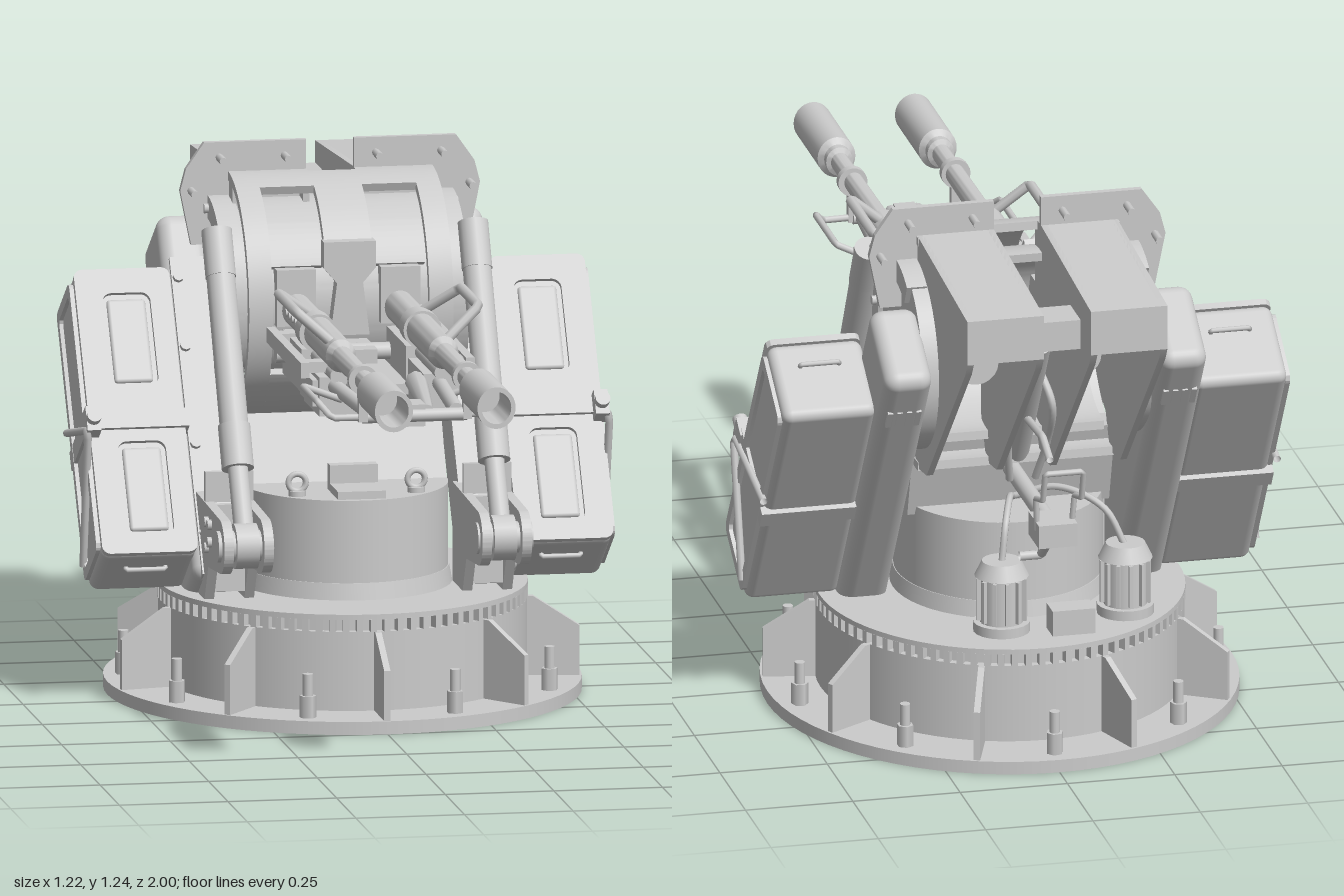
import * as THREE from 'three';
import { toCreasedNormals } from 'three/addons/utils/BufferGeometryUtils.js';
import { RoundedBoxGeometry } from 'three/addons/geometries/RoundedBoxGeometry.js';

const mat = new THREE.MeshStandardMaterial({ color: 0xcccccc, side: THREE.DoubleSide });
const V = (x, y, z) => new THREE.Vector3(x, y, z);

function add(parent, name, geo, x = 0, y = 0, z = 0) {
  const m = new THREE.Mesh(geo, mat);
  m.name = name;
  m.position.set(x, y, z);
  parent.add(m);
  return m;
}
const box = (p, name, w, h, d, x, y, z) => add(p, name, new THREE.BoxGeometry(w, h, d), x, y, z);

// Cylinder running from point a (radius ra) to point b (radius rb)
function rod(p, name, a, b, ra, rb = ra, seg = 20) {
  const A = V(...a), B = V(...b), dir = B.clone().sub(A);
  const m = add(p, name, new THREE.CylinderGeometry(rb, ra, dir.length(), seg));
  m.position.copy(A).lerp(B, 0.5);
  m.quaternion.setFromUnitVectors(V(0, 1, 0), dir.normalize());
  return m;
}
// Bent pipe through straight segments
function pipe(p, name, pts, r) {
  const path = new THREE.CurvePath();
  for (let i = 1; i < pts.length; i++) path.add(new THREE.LineCurve3(V(...pts[i - 1]), V(...pts[i])));
  return add(p, name, new THREE.TubeGeometry(path, (pts.length - 1) * 8, r, 8));
}
const hose = (p, name, pts, r) =>
  add(p, name, new THREE.TubeGeometry(new THREE.CatmullRomCurve3(pts.map(q => V(...q))), 24, r, 8));
const poly = pts => new THREE.Shape(pts.map(q => new THREE.Vector2(...q)));

// Side profile drawn in (z, y), extruded from x = a to x = b
function slab(p, name, shape, a, b) {
  const lo = Math.min(a, b), hi = Math.max(a, b);
  const g = new THREE.ExtrudeGeometry(shape, { depth: hi - lo, bevelEnabled: false, curveSegments: 40 });
  g.rotateY(-Math.PI / 2);
  return add(p, name, toCreasedNormals(g, 0.5), hi, 0, 0);
}
const CY = 0.885, CZ = -0.5, R = 0.282;
// Ring sector of the cradle drum, angles in degrees from the front upwards
function sector(r0, r1, d0, d1) {
  const s = new THREE.Shape(), a = d0 * Math.PI / 180, b = d1 * Math.PI / 180;
  s.absarc(CZ, CY, r1, a, b, false);
  s.absarc(CZ, CY, r0, b, a, true);
  s.closePath();
  return s;
}
function roundRect(Type, cx, cy, w, h, r) {
  const s = new Type(), x = w / 2 - r, y = h / 2 - r;
  s.absarc(cx + x, cy + y, r, 0, Math.PI / 2);
  s.absarc(cx - x, cy + y, r, Math.PI / 2, Math.PI);
  s.absarc(cx - x, cy - y, r, Math.PI, Math.PI * 1.5);
  s.absarc(cx + x, cy - y, r, Math.PI * 1.5, Math.PI * 2);
  s.closePath();
  return s;
}

function buildBase(root) {
  const g = new THREE.Group();
  g.name = 'base';
  g.position.z = -0.335;
  g.scale.x = 0.917;
  root.add(g);
  rod(g, 'basePlate', [0, 0, 0], [0, 0.03, 0], 0.59, 0.59, 72);
  rod(g, 'baseDrum', [0, 0.03, 0], [0, 0.212, 0], 0.455, 0.455, 72);
  // Nine gussets with anchor bolts between them
  for (let i = 0; i < 9; i++) {
    const h = new THREE.Group();
    h.rotation.y = i * Math.PI * 2 / 9;
    g.add(h);
    slab(h, 'gusset', poly([[0.44, 0.03], [0.584, 0.03], [0.584, 0.145], [0.47, 0.212], [0.44, 0.212]]), -0.008, 0.008);
    const a = Math.PI / 9, x = Math.sin(a) * 0.54, z = Math.cos(a) * 0.54;
    rod(h, 'anchorNut', [x, 0.03, z], [x, 0.08, z], 0.021, 0.021, 6);
    rod(h, 'anchorBolt', [x, 0.08, z], [x, 0.13, z], 0.013, 0.013, 12);
  }
  // Toothed slewing ring
  const pts = [], n = 84;
  for (let i = 0; i < n; i++) for (const [f, r] of [[0, 0.437], [0.45, 0.437], [0.5, 0.457], [0.95, 0.457]]) {
    const a = (i + f) / n * Math.PI * 2;
    pts.push([Math.cos(a) * r, Math.sin(a) * r]);
  }
  const ring = new THREE.ExtrudeGeometry(poly(pts), { depth: 0.028, bevelEnabled: false });
  add(g, 'gearRing', ring.rotateX(-Math.PI / 2), 0, 0.212, 0);
  rod(g, 'turntable', [0, 0.24, 0], [0, 0.252, 0], 0.457, 0.457, 72);
  rod(g, 'pedestalFoot', [0, 0.25, 0.015], [0, 0.29, 0.015], 0.268, 0.26, 48);
  rod(g, 'pedestal', [0, 0.29, 0.015], [0, 0.48, 0.015], 0.258, 0.258, 48);
}

function buildCradle(root) {
  const g = new THREE.Group();
  g.name = 'cradle';
  root.add(g);
  slab(g, 'innerDrum', sector(0.2, 0.22, -95, 95), -0.2, 0.2);
  slab(g, 'drumCentre', sector(0.262, R, 28, 85), -0.055, 0.055);
  slab(g, 'drumLower', sector(0.262, R, -95, -31), -0.18, 0.18);
  // Neck joining the cradle to the pedestal
  slab(g, 'neck', poly([[-0.3, 0.46], [-0.4, 0.66], [-0.48, 0.66], [-0.42, 0.46]]), -0.235, 0.235);
  for (const s of [-1, 1]) {
    slab(g, 'drumEdge', sector(0.262, R, -95, 95), s * 0.18, s * 0.235);
    slab(g, 'slotShield', sector(0.22, 0.245, 24, 50), s * 0.055, s * 0.18);
    slab(g, 'drumCrown', sector(0.262, R, 68, 95), s * 0.055, s * 0.18);
    box(g, 'gunMantlet', 0.09, 0.13, 0.17, s * 0.12, 0.915, -0.34);
    rod(g, 'trunnionDisc', [s * 0.225, CY, CZ], [s * 0.27, CY, CZ], 0.222, 0.222, 48);
    slab(g, 'trunnionRim', sector(0.175, 0.228, -60, 120), s * 0.235, s * 0.282);
    for (const a of [-0.3, 0.3, 0.9, 1.5]) {
      const y = CY + Math.sin(a) * 0.2, z = CZ + Math.cos(a) * 0.2;
      rod(g, 'rimBolt', [s * 0.278, y, z], [s * 0.292, y, z], 0.011, 0.011, 8);
    }
    // Hollow rear shroud
    const side = poly([[-0.45, 1.16], [-0.5, 1.168], [-1, 1.135], [-1, 1.03], [-0.98, 1], [-0.78, 0.8], [-0.6, 0.62], [-0.5, 0.605], [-0.45, 0.7]]);
    for (const x of [0.055, 0.218]) slab(g, 'shroudWall', side, s * x, s * (x + 0.015));
    slab(g, 'shroudRoof', poly([[-0.5, 1.168], [-1, 1.135], [-1, 1.03], [-0.985, 1.03], [-0.985, 1.12], [-0.5, 1.153]]), s * 0.06, s * 0.225);
    // Upright bolting plate
    const plate = poly([[s * 0.055, 1.1], [s * 0.055, 1.235], [s * 0.29, 1.235], [s * 0.332, 1.175], [s * 0.345, 1.125], [s * 0.32, 1], [s * 0.23, 1]]);
    add(g, 'topPlate', new THREE.ExtrudeGeometry(plate, { depth: 0.016, bevelEnabled: false }), 0, 0, -0.51);
    for (const [x, y] of [[0.105, 1.2], [0.255, 1.2], [0.32, 1.125]])
      rod(g, 'plateBolt', [s * x, y, -0.56], [s * x, y, -0.44], 0.009, 0.009, 8);
  }
  // Central mantlet bracket between the guns
  const m = poly([[-0.06, 1.045], [0.06, 1.045], [0.06, 0.985], [0.03, 0.95], [0.045, 0.83], [-0.045, 0.83], [-0.03, 0.95], [-0.06, 0.985]]);
  add(g, 'mantletBracket', new THREE.ExtrudeGeometry(m, { depth: 0.04, bevelEnabled: false }), 0, 0, -0.275);
  rod(g, 'crossBar', [-0.18, 0.8, -0.19], [0.18, 0.8, -0.19], 0.02);
  box(g, 'lowerBlock', 0.16, 0.07, 0.12, 0, 0.695, -0.23);
  box(g, 'lowerSupport', 0.09, 0.1, 0.14, 0, 0.765, -0.2);
}

function buildGuns(root) {
  const profile = [[0, -0.42], [0.038, -0.42], [0.038, 0.31], [0.026, 0.33], [0.023, 0.73], [0.034, 0.735], [0.034, 0.755],
    [0.048, 0.765], [0.048, 1], [0.037, 1], [0.037, 0.85], [0, 0.85]].map(p => new THREE.Vector2(...p));
  for (const s of [-1, 1]) {
    const g = new THREE.Group();
    g.name = s > 0 ? 'leftGun' : 'rightGun';
    root.add(g);
    const barrel = new THREE.LatheGeometry(profile, 28).rotateX(Math.PI / 2);
    add(g, 'barrel', toCreasedNormals(barrel, 0.5), s * 0.118, 0.887, 0).scale.x = 0.917;
    rod(g, 'barrelClamp', [s * 0.12, 0.887, 0.595], [s * 0.12, 0.887, 0.615], 0.034);
    rod(g, 'receiverCollar', [s * 0.12, 0.887, -0.03], [s * 0.12, 0.887, 0.03], 0.044);
    box(g, 'receiver', 0.07, 0.09, 0.2, s * 0.12, 0.78, 0.14);
    box(g, 'receiverCover', 0.015, 0.06, 0.16, s * 0.16, 0.785, 0.14);
    box(g, 'receiverRear', 0.075, 0.1, 0.25, s * 0.12, 0.8, -0.1);
    rod(g, 'gasTube', [s * 0.12, 0.835, -0.2], [s * 0.12, 0.835, 0.28], 0.017);
    for (let i = 0; i < 6; i++)
      rod(g, 'ventPort', [s * 0.15, 0.895, -0.19 + i * 0.04], [s * 0.157, 0.895, -0.19 + i * 0.04], 0.009, 0.009, 8);
    box(g, 'sideRail', 0.02, 0.035, 0.45, s * 0.19, 0.845, 0.03);
    for (const z of [-0.15, 0.2]) box(g, 'railMount', 0.06, 0.025, 0.04, s * 0.16, 0.845, z);
    // Tapering stay, carry handle and side guard
    rod(g, 'stay', [s * 0.075, 0.8, 0.2], [s * 0.03, 0.81, 0.6], 0.026, 0.014, 8);
    rod(g, 'lowerTube', [s * 0.12, 0.805, 0.25], [s * 0.1, 0.805, 0.58], 0.017);
    pipe(g, 'carryHandle', [[s * 0.12, 0.9, 0.28], [s * 0.21, 0.98, 0.25], [s * 0.21, 0.98, 0.02], [s * 0.13, 0.92, -0.03]], 0.012);
    pipe(g, 'sideGuard', [[s * 0.12, 0.79, 0.33], [s * 0.215, 0.83, 0.36], [s * 0.215, 0.83, 0.56], [s * 0.19, 0.8, 0.6], [s * 0.08, 0.8, 0.605]], 0.008);
    box(g, 'barrelHanger', 0.02, 0.1, 0.02, s * 0.12, 0.84, 0.605);
  }
  rod(root, 'frontCrossBar', [-0.12, 0.8, 0.6], [0.12, 0.8, 0.6], 0.015);
  box(root, 'frontBlock', 0.05, 0.05, 0.07, 0, 0.8, 0.57);
  box(root, 'centreTray', 0.14, 0.025, 0.35, 0, 0.77, -0.05);
}

function buildSide(root, s) {
  // Elevating ram and its foot bracket
  const x = s * 0.295;
  rod(root, 'ramCylinder', [x, 1.06, -0.3], [x, 0.6, -0.045], 0.033);
  rod(root, 'ramCap', [x, 1.068, -0.305], [x, 0.97, -0.25], 0.035);
  rod(root, 'ramGland', [x, 0.66, -0.078], [x, 0.57, -0.028], 0.037);
  rod(root, 'ramRod', [x, 0.6, -0.045], [x, 0.41, 0.07], 0.023);
  rod(root, 'ramPin', [s * 0.235, 0.41, 0.07], [s * 0.362, 0.41, 0.07], 0.036);
  rod(root, 'ramEye', [s * 0.27, 0.41, 0.07], [s * 0.322, 0.41, 0.07], 0.052);
  const lug = poly([[-0.26, 0.25], [-0.13, 0.25], [-0.08, 0.335], [0.07, 0.348]]);
  lug.absarc(0.07, 0.41, 0.062, -Math.PI / 2, Math.PI / 2, false);
  lug.lineTo(-0.26, 0.48);
  for (const [a, b] of [[0.24, 0.262], [0.332, 0.354]]) slab(root, 'ramBracket', lug, s * a, s * b);
  box(root, 'bracketPost', 0.11, 0.07, 0.016, s * 0.297, 0.51, -0.135);
  box(root, 'bracketWeb', 0.08, 0.2, 0.02, s * 0.297, 0.37, -0.13);
  for (const [y, z] of [[0.44, -0.04], [0.38, -0.08], [0.44, -0.08], [0.4, -0.04]])
    rod(root, 'bracketBolt', [s * 0.35, y, z], [s * 0.364, y, z], 0.012, 0.012, 8);

  // Slanted support arm and ammunition box share one tilted frame
  const g = new THREE.Group();
  g.name = s > 0 ? 'leftAmmunition' : 'rightAmmunition';
  g.position.set(s * 0.478, 0.594, -0.426);
  g.rotation.x = -0.586;
  root.add(g);
  add(g, 'supportArm', new RoundedBoxGeometry(0.112, 0.9, 0.222, 4, 0.032), s * -0.158, 0.045, -0.029);
  box(g, 'armFlange', 0.108, 0.78, 0.03, s * -0.174, -0.01, 0.075);
  for (const y of [-0.3, -0.08, 0.16, 0.33]) rod(g, 'armBolt', [s * -0.135, y, 0.085], [s * -0.135, y, 0.102], 0.013, 0.013, 8);
  for (let i = 0; i < 4; i++) box(g, 'armVent', 0.012, 0.05, 0.012, s * (-0.19 + i * 0.022), 0.36, -0.138);
  add(g, 'ammunitionBox', new RoundedBoxGeometry(0.22, 0.7, 0.21, 3, 0.022), 0, -0.007, 0.005);
  const lid = roundRect(THREE.Shape, 0, 0, 0.22, 0.7, 0.02);
  for (const y of [0.175, -0.19]) lid.holes.push(roundRect(THREE.Path, s * -0.005, y, 0.11, 0.23, 0.022));
  add(g, 'lidFrame', toCreasedNormals(new THREE.ExtrudeGeometry(lid, { depth: 0.016, bevelEnabled: false }), 0.5), 0, -0.007, 0.106);
  for (const y of [0.168, -0.197]) add(g, 'lidPanel', new RoundedBoxGeometry(0.09, 0.205, 0.02, 2, 0.008), s * -0.005, y, 0.107);
  const rim = roundRect(THREE.Shape, 0.005, -0.007, 0.19, 0.66, 0.02);
  rim.holes.push(roundRect(THREE.Path, 0.005, -0.007, 0.145, 0.61, 0.015));
  slab(g, 'sideRim', rim, s * 0.108, s * 0.119);
  box(g, 'strap', 0.236, 0.045, 0.245, 0, -0.03, 0.01);
  box(g, 'strapLatch', 0.032, 0.06, 0.05, s * 0.107, -0.04, 0.14);
  rod(g, 'latchKnob', [s * 0.107, -0.04, 0.15], [s * 0.107, -0.04, 0.185], 0.017);
  pipe(g, 'sideBrace', [[s * 0.12, 0.04, -0.11], [s * 0.122, -0.07, 0.165], [s * 0.12, -0.3, -0.08]], 0.009);
  for (const [y, e] of [[0.338, 1], [-0.352, -1]])
    pipe(g, 'endHandle', [[-0.045, y, 0.04], [-0.045, y + e * 0.012, 0.04], [0.045, y + e * 0.012, 0.04], [0.045, y, 0.04]], 0.006);
}

function buildEquipment(root) {
  // Lifting eyes and stop block on the pedestal
  for (const s of [-1, 1]) {
    add(root, 'liftingEye', new THREE.TorusGeometry(0.02, 0.007, 8, 20), s * 0.137, 0.51, -0.15);
    rod(root, 'eyeFoot', [s * 0.137, 0.475, -0.15], [s * 0.137, 0.492, -0.15], 0.02);
  }
  box(root, 'stopBlock', 0.11, 0.06, 0.03, 0, 0.51, -0.2);
  box(root, 'stopPad', 0.11, 0.02, 0.14, 0, 0.488, -0.15);
  // Drive motors on the turntable
  for (const [x, z] of [[-0.23, -0.6], [0.07, -0.65]]) {
    rod(root, 'motorBody', [x, 0.27, z], [x, 0.385, z], 0.05);
    rod(root, 'motorFoot', [x, 0.25, z], [x, 0.275, z], 0.065);
    rod(root, 'motorCap', [x, 0.385, z], [x, 0.42, z], 0.062, 0.045);
    for (let i = 0; i < 12; i++) {
      const a = i * Math.PI / 6;
      box(root, 'motorFin', 0.012, 0.1, 0.008, x + Math.cos(a) * 0.053, 0.33, z + Math.sin(a) * 0.053).rotation.y = -a;
    }
    hose(root, 'motorHose', [[x, 0.41, z], [x * 0.8, 0.5, z + 0.02], [x * 0.4, 0.53, z + 0.1], [0, 0.5, -0.46]], 0.008);
  }
  box(root, 'valveBox', 0.1, 0.06, 0.06, -0.08, 0.285, -0.7);
  // Rear control boom with hand levers
  rod(root, 'boom', [0, 0.565, -0.42], [0, 0.565, -0.88], 0.02);
  box(root, 'controlHead', 0.09, 0.055, 0.1, 0, 0.565, -0.86);
  pipe(root, 'handLever', [[-0.04, 0.57, -0.87], [-0.045, 0.65, -0.88], [-0.045, 0.67, -0.95], [-0.045, 0.74, -0.97], [0.045, 0.74, -0.97], [0.045, 0.67, -0.95], [0.045, 0.65, -0.88], [0.04, 0.57, -0.87]], 0.007);
  pipe(root, 'footLever', [[0, 0.55, -0.85], [0, 0.46, -0.74], [0.05, 0.46, -0.74]], 0.011);
  // Breech mechanism between the shrouds
  rod(root, 'breechRam', [0, 0.62, -0.5], [0, 0.96, -0.72], 0.028);
  rod(root, 'breechRod', [0, 0.96, -0.72], [0, 1.06, -0.85], 0.014);
  box(root, 'ramHead', 0.09, 0.07, 0.1, 0, 1.06, -0.89);
  pipe(root, 'releaseLever', [[0, 0.74, -0.6], [0, 0.75, -0.76], [0, 0.72, -0.83]], 0.009);
  for (const s of [-1, 1]) {
    hose(root, 'breechHose', [[s * 0.03, 0.58, -0.56], [s * 0.045, 0.68, -0.61], [s * 0.04, 0.8, -0.68], [s * 0.02, 0.87, -0.64]], 0.009);
    rod(root, 'breech', [s * 0.12, 0.887, -0.35], [s * 0.12, 0.887, -0.62], 0.05);
  }
}

export function createModel() {
  const root = new THREE.Group();
  root.name = 'twinGunTurret';
  buildBase(root);
  buildCradle(root);
  buildGuns(root);
  for (const s of [-1, 1]) buildSide(root, s);
  buildEquipment(root);
  return root;
}
